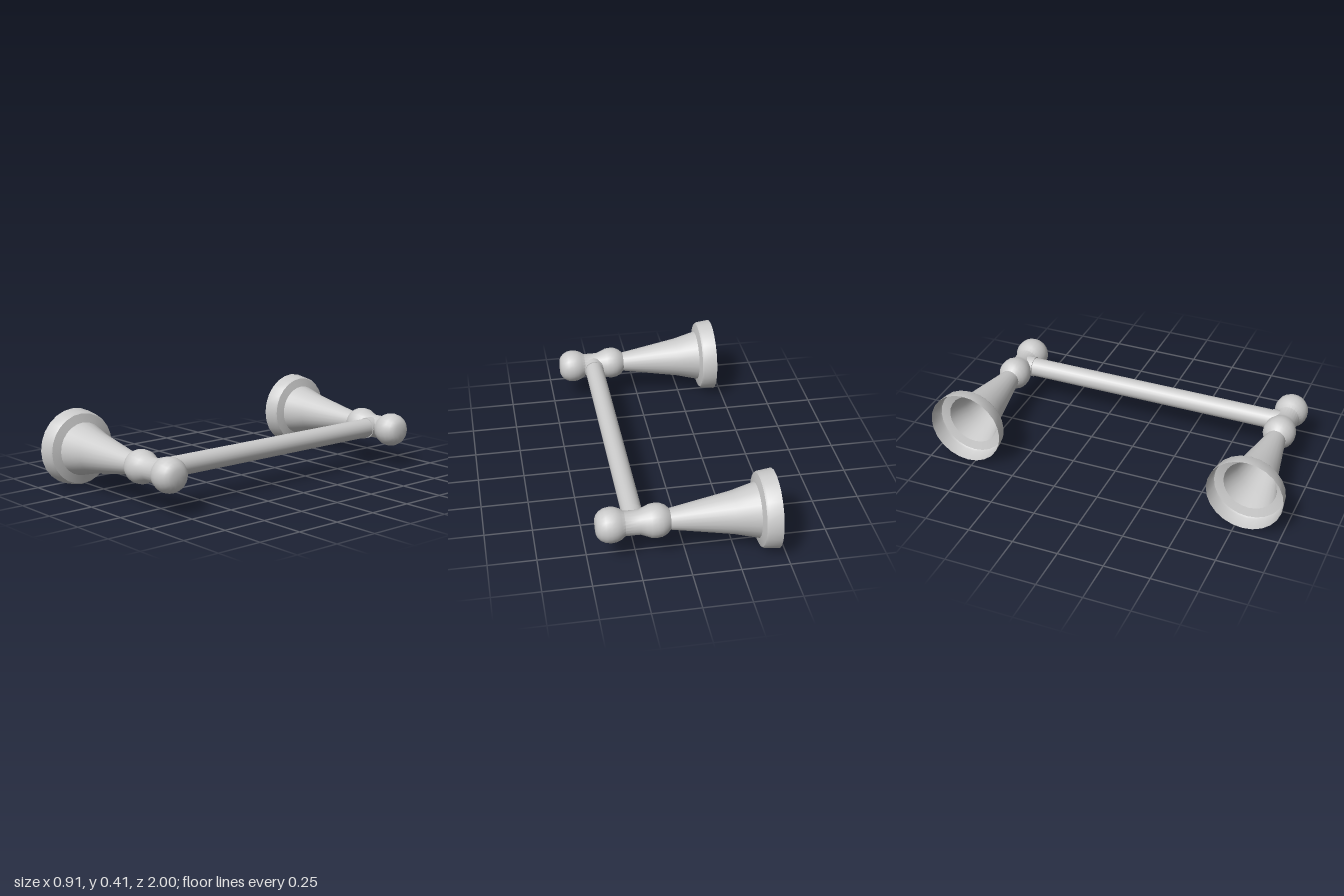
import * as THREE from 'three';
import { toCreasedNormals } from 'three/addons/utils/BufferGeometryUtils.js';

const AXIS_Y = 0.206, POST_Z = 0.794, ROD_X = 0.258;

export function createModel() {
  const model = new THREE.Group();
  model.name = 'wallBar';
  const material = new THREE.MeshStandardMaterial({ color: 0xcccccc, side: THREE.DoubleSide });

  // Post profile as [x, radius]: open flange, tapered neck, two bulbs
  const profile = [
    [-0.457, 0.206], [-0.385, 0.197], [-0.375, 0.19], [-0.363, 0.143],
    [-0.24, 0.111], [0.08, 0.055],
    [0.1, 0.074], [0.125, 0.086], [0.15, 0.089], [0.18, 0.086], [0.205, 0.075], [0.235, 0.064],
    [0.31, 0.064], [0.33, 0.079], [0.355, 0.089], [0.38, 0.092], [0.408, 0.088],
    [0.432, 0.075], [0.447, 0.059], [0.455, 0.042], [0.457, 0],
  ].map(([x, r]) => new THREE.Vector2(r, x));
  const postGeometry = toCreasedNormals(
    new THREE.LatheGeometry(profile, 24).rotateZ(-Math.PI / 2), 0.65);

  // Adds a cylinder lying along z
  const addBar = (name, radius, length, z) => {
    const geometry = new THREE.CylinderGeometry(radius, radius, length, 24).rotateX(Math.PI / 2);
    const bar = new THREE.Mesh(geometry, material);
    bar.name = name;
    bar.position.set(ROD_X, AXIS_Y, z);
    model.add(bar);
  };

  // Mirrored posts, each with a short collar that receives the rod
  for (const side of [1, -1]) {
    const post = new THREE.Mesh(postGeometry, material);
    post.name = side > 0 ? 'frontPost' : 'backPost';
    post.position.set(0, AXIS_Y, side * POST_Z);
    model.add(post);
    addBar(side > 0 ? 'frontCollar' : 'backCollar', 0.057, 0.06, side * 0.747);
  }

  // Rod between the posts
  addBar('rod', 0.053, 1.5, 0);
  return model;
}
